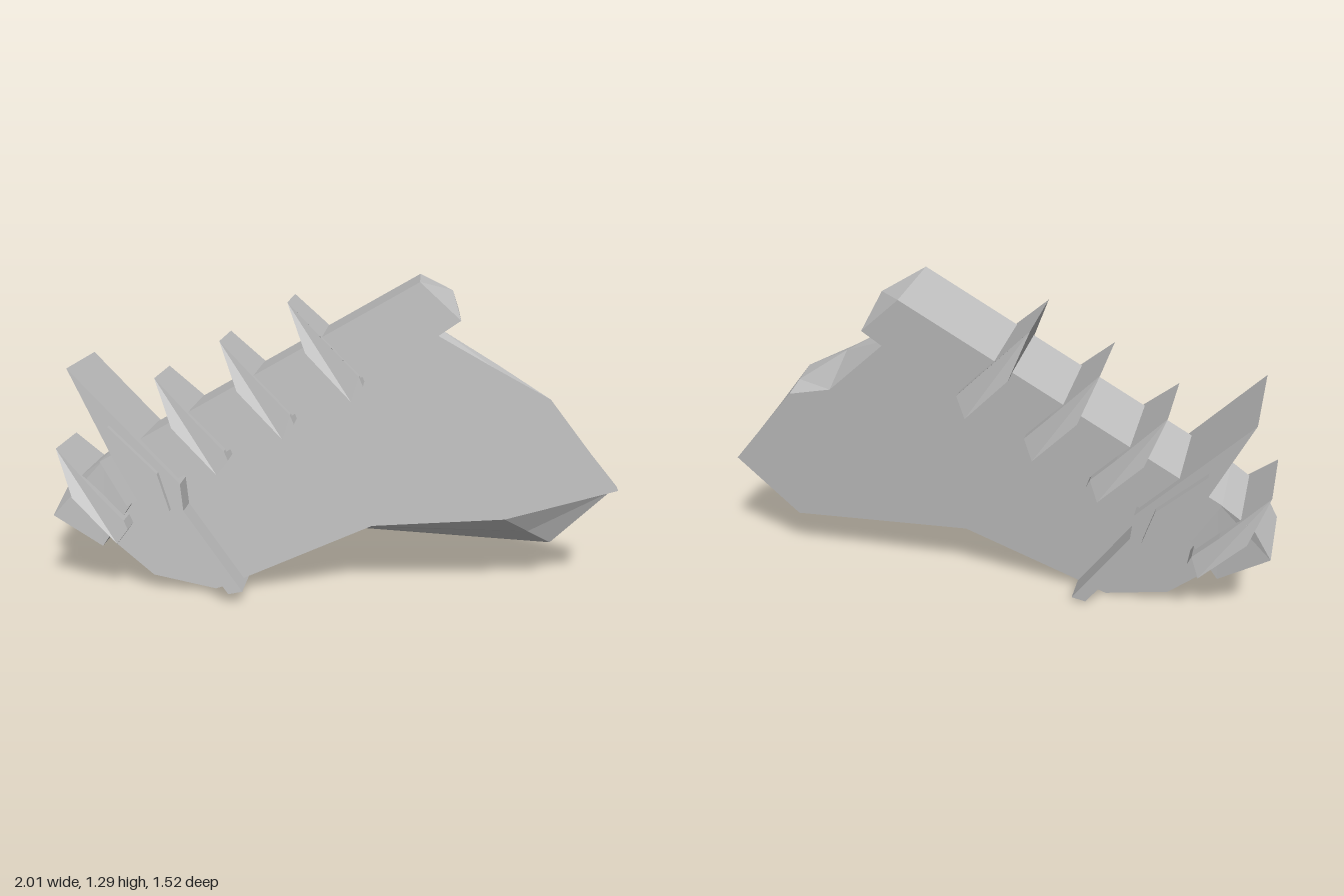
import * as THREE from 'three';
import { ConvexGeometry } from 'three/addons/geometries/ConvexGeometry.js';

const MID = 0.066; // middle plane of the thickness

// Faceted solid through matching counter-clockwise rings of [x, y, z] points, front ring first
function solid(...rings) {
  const n = rings[0].length;
  const last = (rings.length - 1) * n;
  const cap = ring => THREE.ShapeUtils.triangulateShape(ring.map(p => new THREE.Vector2(p[0], p[1])), []);
  const index = [];
  for (const [a, b, c] of cap(rings[0])) index.push(a, b, c);
  for (const [a, b, c] of cap(rings[rings.length - 1])) index.push(last + a, last + c, last + b);
  for (let r = 0; r < last; r += n) {
    for (let i = 0; i < n; i++) {
      const j = (i + 1) % n;
      index.push(r + i, r + n + i, r + n + j, r + i, r + n + j, r + j);
    }
  }
  const g = new THREE.BufferGeometry();
  g.setAttribute('position', new THREE.Float32BufferAttribute(rings.flat(2), 3));
  g.setIndex(index);
  const out = g.toNonIndexed();
  out.computeVertexNormals();
  return out;
}

// Symmetric solid: each outline point is [x, y, halfWidth]
const symmetric = pts => solid(
  pts.map(([x, y, h]) => [x, y, MID + h]),
  pts.map(([x, y, h]) => [x, y, MID - h])
);

// Outline of [x, y] pairs between two depths
const slab = (pts, zFront, zBack) => solid(
  pts.map(([x, y]) => [x, y, zFront]),
  pts.map(([x, y]) => [x, y, zBack])
);

export function createModel() {
  const group = new THREE.Group();
  const grey = new THREE.MeshStandardMaterial({ color: 0xc0c0c0, flatShading: true });
  grey.name = 'light grey';

  const tilted = new THREE.Group();
  tilted.name = 'tiltedAssembly';
  group.add(tilted);
  const add = (name, geometry) => {
    const mesh = new THREE.Mesh(geometry, grey);
    mesh.name = name;
    tilted.add(mesh);
    return mesh;
  };

  // Broad flat blade: bevelled edges and a ridge along the upper front corner
  const bladeFront = [[-0.3, 0.21], [0.31, 0.15], [0.79, -0.08], [1.235, -0.187],
    [1.175, 0.265], [1.04, 0.485], [0.9, 0.72], [-0.3, 0.76]].map(p => [...p, 0.156]);
  const bladeBack = [[-0.3, 0.2], [0.25, 0.108], [0.89, -0.308], [1.239, -0.225],
    [1.167, 0.216], [1.03, 0.343], [0.92, 0.7], [-0.3, 0.76]].map(p => [...p, -0.026]);
  const bladeRidge = bladeFront.map((p, i) => p.map((v, k) => (v + bladeBack[i][k]) / 2));
  bladeRidge[5] = [1.058, 0.475, 0.09];
  bladeRidge[6] = [0.93, 0.71, 0.1];
  add('blade', solid(bladeFront, bladeRidge, bladeBack));

  // Rear body behind the collar
  add('rearBody', slab([[-0.32, 0.215], [-0.32, 0.76], [-0.64, 0.76], [-0.65, 0.61],
    [-0.576, 0.4], [-0.38, 0.226]], 0.175, -0.045));

  // Shallow pointed nose of the spine bar
  const nose = [new THREE.Vector3(1.045, 0.815, MID)];
  for (const s of [-1, 1]) {
    for (const [x, y] of [[0.957, 0.92], [1.022, 0.715], [0.9, 0.705], [0.9, 0.92]]) {
      nose.push(new THREE.Vector3(x, y, MID + s * 0.168));
    }
  }
  add('barNose', new ConvexGeometry(nose));

  // Spine bar: two sides and a top, open below where the blade enters
  const side = new THREE.PlaneGeometry(1.4, 0.21);
  add('barFront', side).position.set(0.2, 0.815, MID + 0.168);
  const back = add('barBack', side);
  back.position.set(0.2, 0.815, MID - 0.168);
  back.rotation.y = Math.PI;
  const top = add('barTop', new THREE.PlaneGeometry(1.4, 0.336));
  top.position.set(0.2, 0.92, MID);
  top.rotation.x = -Math.PI / 2;

  // Pointed tail of the bar
  add('barTail', symmetric([[-0.48, 0.92, 0.167], [-0.66, 0.9, 0.167], [-0.79, 0.82, 0.155],
    [-0.68, 0.613, 0.155], [-0.48, 0.71, 0.167]]));

  // Swept fins clamped over the spine bar, hooking under its lower edge
  const fin = [[0, 1.1, 0.148], [-0.03, 0.9, 0.205], [0.03, 0.65, 0.205],
    [0.1, 0.68, 0.205], [0.105, 0.72, 0.205], [0.07, 0.86, 0.205]];
  [[0.475, 0], [0.167, 0], [-0.134, 0], [-0.635, 0.05]].forEach(([x, drop]) => {
    add('fin', symmetric(fin.map(([a, b, h]) => [x + a, b - drop, h])));
  });

  // Collar: tall spike above, thin strap wrapping below
  add('collar', slab([[-0.4, 1.304], [-0.43, 0.92], [-0.436, 0.664], [-0.355, 0.59],
    [-0.315, 0.205], [-0.26, 0.187], [-0.295, 0.589], [-0.25, 0.69]], 0.276, -0.14));

  // Raised diamonds on both sides of the collar
  const diamond = [[-0.373, 1.03], [-0.405, 0.735], [-0.335, 0.62], [-0.3, 0.774]];
  add('collarDiamond', slab(diamond, 0.305, 0.26));
  add('collarDiamond', slab(diamond, -0.125, -0.17));

  // Lean the assembly into its diagonal pose
  const along = new THREE.Vector3(0.732, 0.5025, 0.464).normalize();
  const out = new THREE.Vector3(-0.579, 0.084, 0.81);
  const up = out.clone().cross(along).normalize();
  out.crossVectors(along, up).normalize();
  tilted.quaternion.setFromRotationMatrix(new THREE.Matrix4().makeBasis(along, up, out));

  return group;
}
